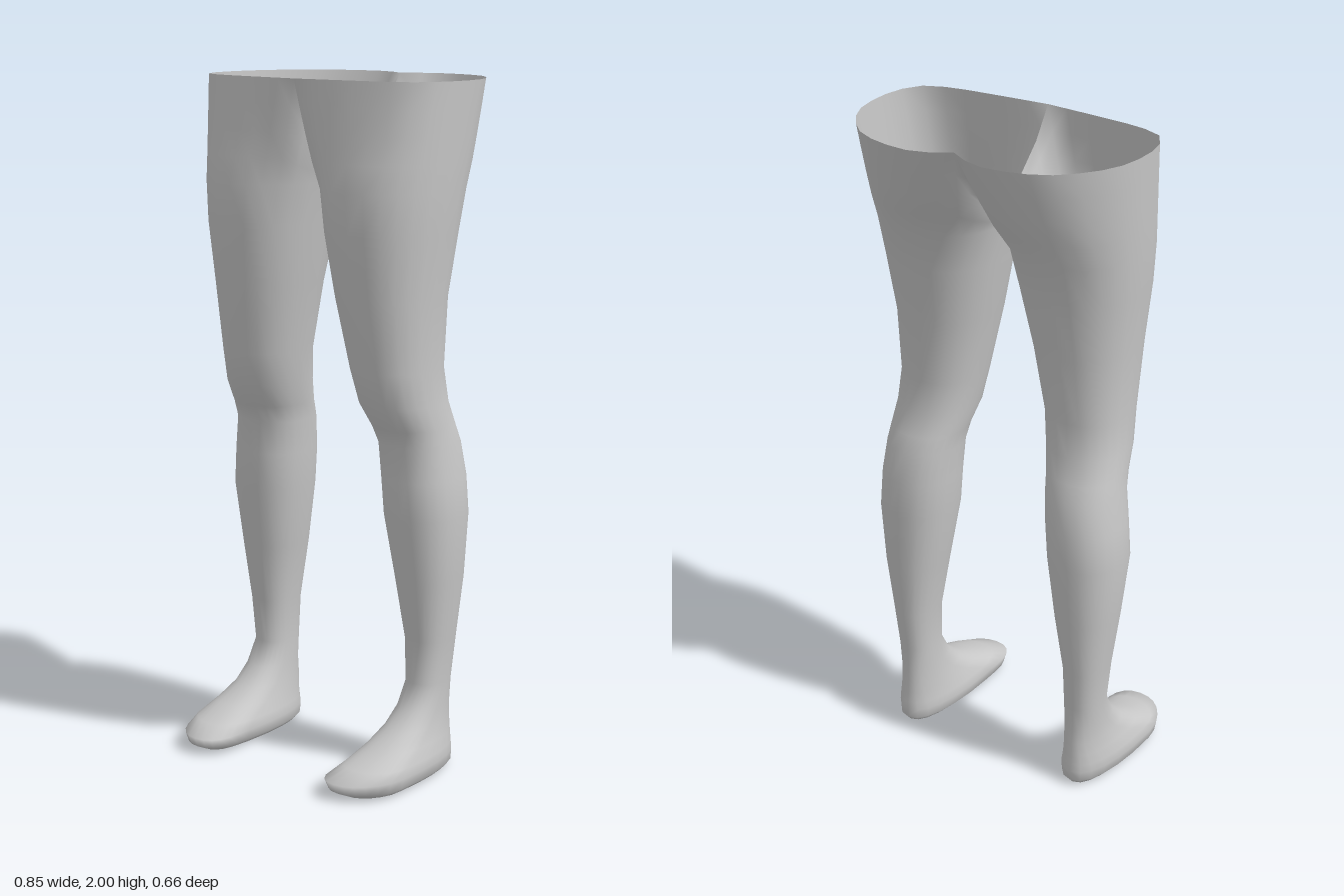
import * as THREE from 'three';
import { mergeVertices } from 'three/addons/utils/BufferGeometryUtils.js';

const SIDES = 24;

// Leg sections from sole to thigh: height, inner x, outer x, back z, widest z, front z
const SECTIONS = [
  [0.003, 0.225, 0.375, -0.13, 0.15, 0.28],
  [0.02, 0.205, 0.395, -0.145, 0.17, 0.315],
  [0.05, 0.2, 0.4, -0.145, 0.17, 0.328],
  [0.075, 0.208, 0.393, -0.143, 0.14, 0.26],
  [0.11, 0.222, 0.378, -0.14, 0.07, 0.175],
  [0.15, 0.232, 0.365, -0.138, 0.01, 0.1],
  [0.2, 0.24, 0.36, -0.135, -0.03, 0.045],
  [0.27, 0.242, 0.358, -0.135, -0.06, 0.005],
  [0.4, 0.24, 0.37, -0.148, -0.06, 0.012],
  [0.58, 0.21, 0.393, -0.165, -0.06, 0.037],
  [0.77, 0.18, 0.41, -0.175, -0.05, 0.065],
  [0.88, 0.173, 0.4, -0.175, -0.05, 0.07],
  [0.98, 0.165, 0.388, -0.16, -0.04, 0.07],
  [1.03, 0.158, 0.382, -0.14, -0.03, 0.095],
  [1.1, 0.14, 0.376, -0.118, 0, 0.135],
  [1.2, 0.125, 0.37, -0.107, 0.02, 0.16],
  [1.4, 0.085, 0.38, -0.125, 0.03, 0.19],
  [1.58, 0.05, 0.4, -0.16, 0.02, 0.213],
  [1.7, 0.03, 0.41, -0.19, 0.01, 0.216],
];

// Half of the open waist, from back centre round the hip to front centre (x, z)
const WAIST = [[0, -0.28], [0.1, -0.33], [0.27, -0.3], [0.35, -0.235], [0.41, -0.14], [0.428, -0.03],
  [0.415, 0.07], [0.375, 0.13], [0.29, 0.155], [0.2, 0.165], [0, 0.18]];

// Crotch line on the mid plane, from front to back (y, z)
const CROTCH = [[2, 0.18], [1.9, 0.11], [1.83, 0.03], [1.79, -0.06], [1.82, -0.13], [1.88, -0.2], [2, -0.28]];

const power = (v, e) => Math.sign(v) * Math.abs(v) ** e;

// Columns start at the back inner corner, pass the outer side and the front, and end on the inner side
function sectionRing([y, xin, xout, zb, zw, zf]) {
  const ring = [];
  for (let j = 0; j < SIDES; j++) {
    const a = (j / SIDES) * Math.PI * 2 - Math.PI * 0.75;
    const s = power(Math.sin(a), 0.88);
    const z = zw + s * (s > 0 ? zf - zw : zw - zb);
    const x = (xin + xout) / 2 + power(Math.cos(a), 0.88) * (xout - xin) / 2;
    ring.push(new THREE.Vector3(x - Math.max(0, z - 0.2) * 0.2, y, z));
  }
  return ring;
}

// Top ring: waist edge on the outer side, crotch line on the inner side
function topRing() {
  const outer = new THREE.CatmullRomCurve3(WAIST.map(([x, z]) => new THREE.Vector3(x, 2, z)));
  const inner = new THREE.CatmullRomCurve3(CROTCH.map(([y, z]) => new THREE.Vector3(0, y, z)));
  return [...outer.getSpacedPoints(18), ...inner.getSpacedPoints(6).slice(1, 6)];
}

function legsGeometry() {
  const rings = SECTIONS.map(sectionRing);
  const thigh = rings[rings.length - 1];
  const top = topRing();
  // Hip rows blend the thigh into the waist and crotch
  for (const t of [0.25, 0.5, 0.75, 1]) {
    rings.push(thigh.map((p, j) => {
      const q = p.clone().lerp(top[j], t ** 0.85);
      q.y = THREE.MathUtils.lerp(p.y, top[j].y, t);
      return q;
    }));
  }

  const positions = [];
  const index = [];
  for (const side of [1, -1]) {
    const base = positions.length / 3;
    const face = (a, b, c) => index.push(base + a, ...(side > 0 ? [base + b, base + c] : [base + c, base + b]));
    for (const ring of rings) for (const p of ring) positions.push(side * p.x, p.y, p.z);
    for (let r = 0; r < rings.length - 1; r++) {
      for (let j = 0; j < SIDES; j++) {
        const k = (j + 1) % SIDES;
        const a = r * SIDES + j, b = r * SIDES + k;
        face(a, a + SIDES, b);
        face(b, a + SIDES, b + SIDES);
      }
    }
    // Sole
    const centre = rings.length * SIDES;
    positions.push(side * 0.3, 0, 0.1);
    for (let j = 0; j < SIDES; j++) face(centre, j, (j + 1) % SIDES);
  }

  const geometry = new THREE.BufferGeometry();
  geometry.setAttribute('position', new THREE.Float32BufferAttribute(positions, 3));
  geometry.setIndex(index);
  // Weld the two halves along the mid plane so shading runs across it
  const welded = mergeVertices(geometry, 1e-4);
  welded.computeVertexNormals();
  return welded;
}

export function createModel() {
  const grey = new THREE.MeshStandardMaterial({ color: 0xc8c8c8, side: THREE.DoubleSide });
  grey.name = 'light grey';
  const legs = new THREE.Mesh(legsGeometry(), grey);
  legs.name = 'hipsAndLegs';
  const group = new THREE.Group();
  group.name = 'lowerBody';
  group.add(legs);
  return group;
}
